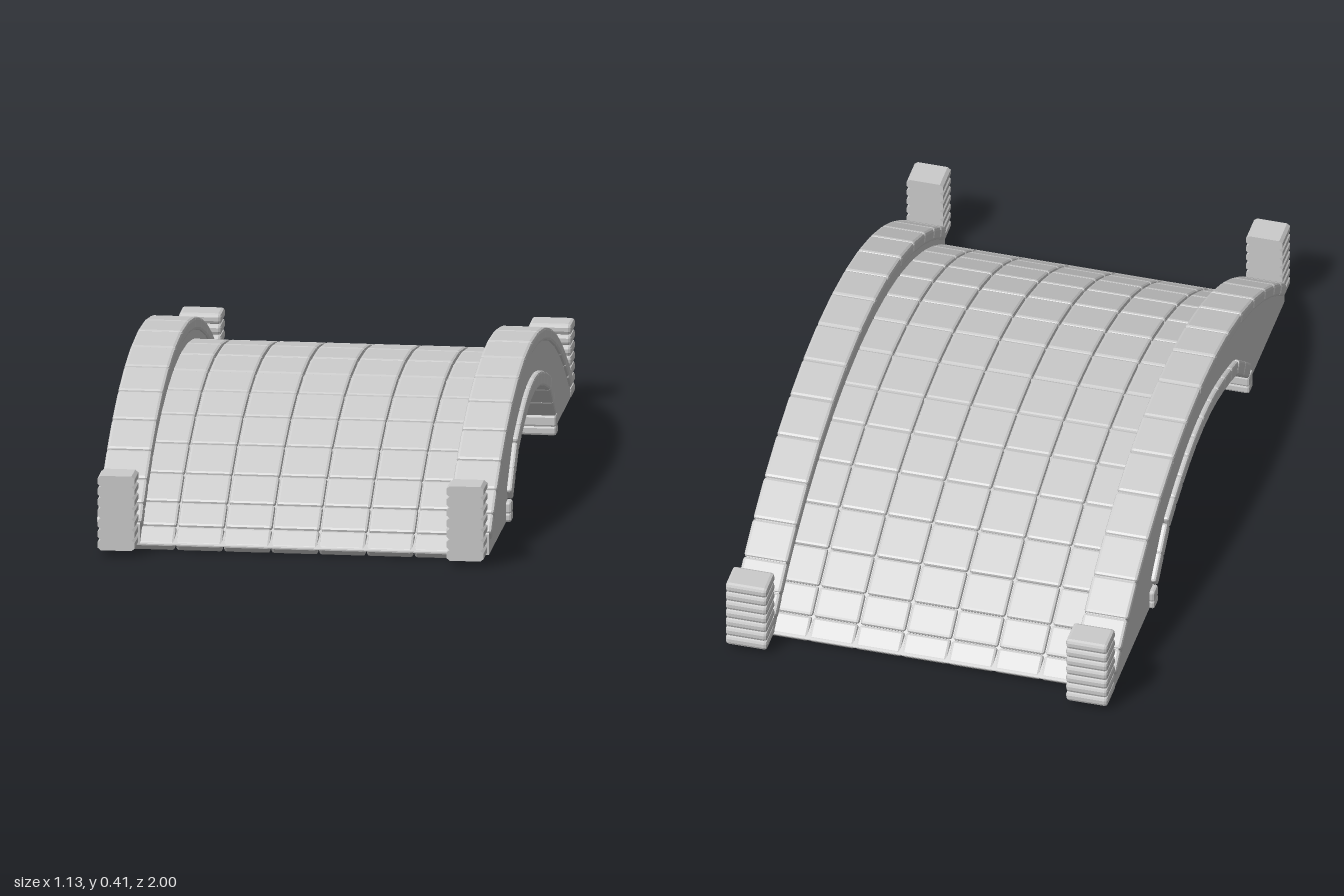
import * as THREE from 'three';
import { RoundedBoxGeometry } from 'three/addons/geometries/RoundedBoxGeometry.js';

const material = new THREE.MeshStandardMaterial({ color: 0xcccccc, flatShading: true });

// Height of the circular crown curve below its peak at distance z
const RADIUS = 1.47;
const drop = (z) => RADIUS - Math.sqrt(RADIUS * RADIUS - z * z);

// Turns a half list of [z, y] (z from 0 outwards) into the whole symmetric line
const mirrorLine = (half) => [...half.slice(1).reverse().map(([z, y]) => [-z, y]), ...half];

const courses = [0, 0.155, 0.295, 0.435, 0.57, 0.69, 0.79, 0.865, 0.92];
const arcLine = (peak) => mirrorLine(courses.map((z) => [z, peak - drop(z)]));
const deckLine = arcLine(0.326);
const parapetLine = arcLine(0.39);
const archLine = mirrorLine([
  [0, 0.24], [0.08, 0.236], [0.15, 0.225], [0.22, 0.208], [0.29, 0.187], [0.36, 0.162],
  [0.425, 0.108], [0.487, 0.055], [0.487, 0.024], [0.487, 0],
]);

function add(parent, geometry, name, x = 0, y = 0, z = 0) {
  const mesh = new THREE.Mesh(geometry, material);
  mesh.name = name;
  mesh.position.set(x, y, z);
  parent.add(mesh);
  return mesh;
}

// One chamfered stone per segment of a line; offset shifts it along the normal
function layStones(parent, line, name, x, width, height, offset, gap, chamfer) {
  for (let i = 0; i < line.length - 1; i++) {
    const [z0, y0] = line[i];
    const [z1, y1] = line[i + 1];
    const angle = -Math.atan2(y1 - y0, z1 - z0);
    const length = Math.hypot(z1 - z0, y1 - y0) - gap;
    const stone = add(parent, new RoundedBoxGeometry(width, height, length, 1, chamfer), name, x,
      (y0 + y1) / 2 + Math.cos(angle) * offset, (z0 + z1) / 2 + Math.sin(angle) * offset);
    stone.rotation.x = angle;
  }
}

// Solid slice of the bridge: arched top, flat feet and the opening underneath
function archSlice(topLine, sink, width) {
  const top = topLine.map(([z, y]) => new THREE.Vector2(z, Math.max(y - sink, 0.003)));
  const opening = archLine.map(([z, y]) => new THREE.Vector2(z * 1.02, y === 0 ? 0 : y + 0.012));
  const end = topLine[topLine.length - 1][0];
  const shape = new THREE.Shape([
    new THREE.Vector2(-end, 0), ...opening, new THREE.Vector2(end, 0), ...top.reverse(),
  ]);
  const geometry = new THREE.ExtrudeGeometry(shape, { depth: width, bevelEnabled: false });
  return geometry.translate(0, 0, -width / 2).rotateY(-Math.PI / 2);
}

// Post with notched flanks and plain front and back faces
function notchedPost(width, height, depth, count) {
  const side = [];
  const step = height / count;
  for (let i = 0; i < count; i++) {
    side.push([width / 2 - 0.009, i * step], [width / 2, (i + 0.25) * step],
      [width / 2, (i + 0.75) * step], [width / 2 - 0.009, (i + 1) * step]);
  }
  const outline = [...side, ...side.map(([x, y]) => [-x, y]).reverse()];
  const shape = new THREE.Shape(outline.map(([x, y]) => new THREE.Vector2(x, y)));
  return new THREE.ExtrudeGeometry(shape, { depth, bevelEnabled: false }).translate(0, 0, -depth / 2);
}

export function createModel() {
  const bridge = new THREE.Group();
  bridge.name = 'stoneBridge';

  // Core under the paving
  add(bridge, archSlice(deckLine, 0.012, 0.9), 'bridgeCore');

  // Paving stones, seven columns wide
  const paving = new THREE.Group();
  paving.name = 'paving';
  bridge.add(paving);
  const pitch = 0.1345;
  for (let column = -3; column <= 3; column++) {
    layStones(paving, deckLine, 'pavingStone', column * pitch, pitch - 0.003, 0.03, -0.015, 0.002, 0.008);
  }

  // Voussoirs lining the opening across the full width
  const ring = new THREE.Group();
  ring.name = 'archRing';
  bridge.add(ring);
  layStones(ring, archLine, 'archStone', 0, 1.13, 0.043, 0.0215, -0.004, 0.007);

  for (const side of [-1, 1]) {
    const name = side > 0 ? 'left' : 'right';

    // Side wall and its coping stones
    add(bridge, archSlice(parapetLine, 0.008, 0.115), name + 'SideWall', side * 0.4925);
    const coping = new THREE.Group();
    coping.name = name + 'Coping';
    bridge.add(coping);
    layStones(coping, parapetLine, 'copingStone', side * 0.4935, 0.129, 0.038, -0.019, 0.001, 0.009);

    // Front post with notched flanks
    add(bridge, notchedPost(0.105, 0.215, 0.085, 7), name + 'FrontPost', side * 0.4925, 0, 0.9575);

    // Rear post stacked from chamfered courses
    const post = new THREE.Group();
    post.name = name + 'BackPost';
    bridge.add(post);
    const step = 0.215 / 7;
    for (let i = 0; i < 7; i++) {
      add(post, new RoundedBoxGeometry(0.122, step, 0.09, 1, 0.01), 'postCourse',
        side * 0.494, (i + 0.5) * step, -0.955);
    }
  }
  return bridge;
}
